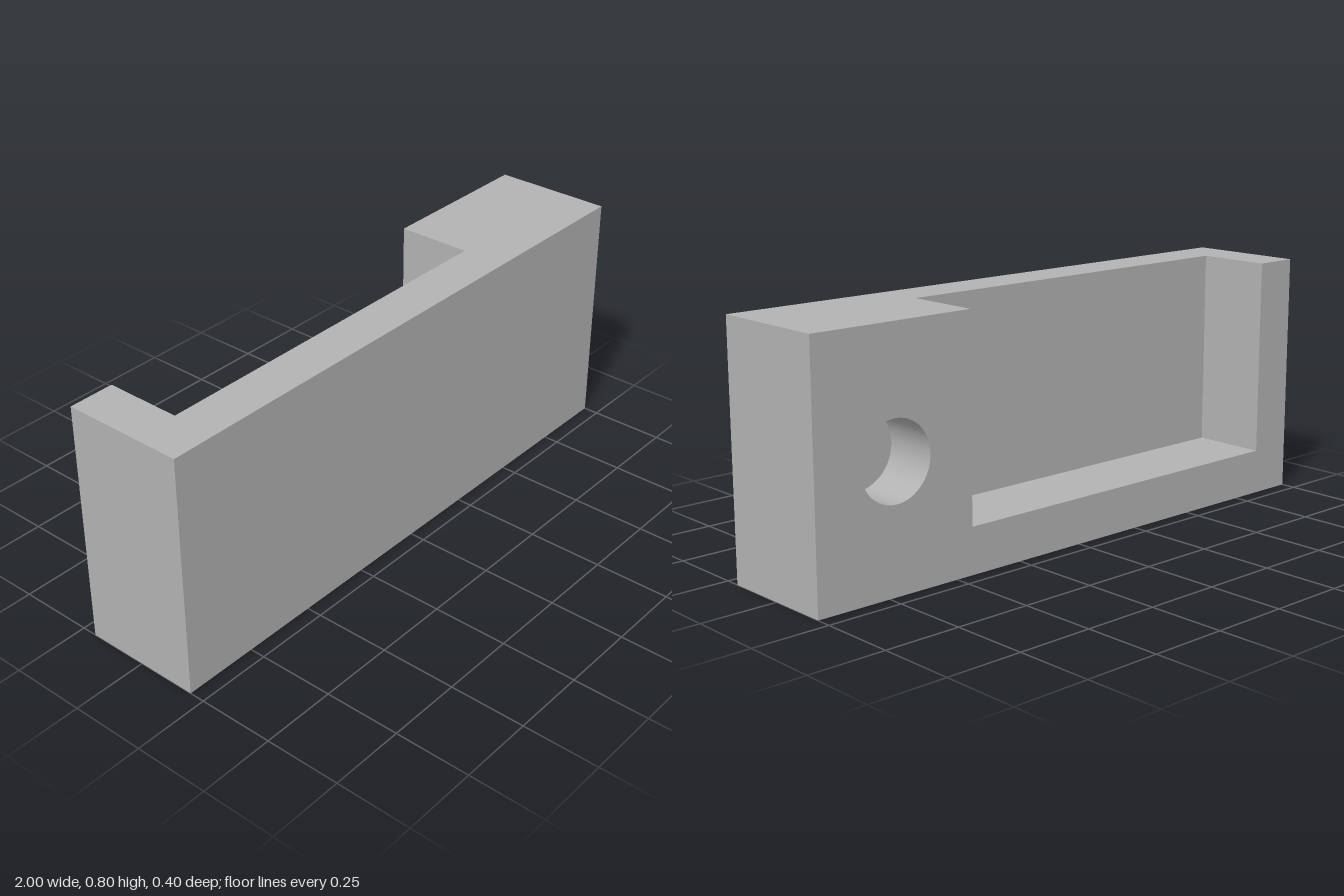
import * as THREE from 'three';

export function createModel() {
  const model = new THREE.Group();
  model.name = 'pocketedBlock';
  const grey = new THREE.MeshStandardMaterial({ color: 0xb2b2b2 });
  grey.name = 'plain grey';

  const front = 0.2, back = -0.2;
  const pocketFloor = -0.05 + 0.1;  // z of the recessed wall
  const holeFloor = back + 0.18;    // z where the blind hole ends
  const height = 0.8, ledge = 0.15, wall = -0.85, block = 0.44;
  const hole = { x: 0.72, y: 0.4, r: 0.125 };

  const outline = (points) => new THREE.Shape(points.map(([x, y]) => new THREE.Vector2(x, y)));

  function addSlab(name, shape, z0, z1) {
    const geometry = new THREE.ExtrudeGeometry(shape, { depth: z1 - z0, bevelEnabled: false, curveSegments: 48 });
    geometry.translate(0, 0, z0);
    const mesh = new THREE.Mesh(geometry, grey);
    mesh.name = name;
    model.add(mesh);
  }

  // Solid front plate
  addSlab('frontPlate', outline([[-1, 0], [1, 0], [1, height], [-1, height]]), pocketFloor, front);

  // Frame around the open-topped pocket: thin end wall, ledge and thick block
  const frame = outline([
    [-1, 0], [1, 0], [1, height], [block, height],
    [block, ledge], [wall, ledge], [wall, height], [-1, height],
  ]);
  frame.holes.push(new THREE.Path().absarc(hole.x, hole.y, hole.r, 0, Math.PI * 2, true));
  addSlab('pocketFrame', frame, back, pocketFloor);

  // Plug that closes the blind hole at its depth
  const plug = new THREE.Mesh(new THREE.CircleGeometry(hole.r, 48), grey);
  plug.name = 'holeFloor';
  plug.rotation.y = Math.PI;
  plug.position.set(hole.x, hole.y, holeFloor);
  model.add(plug);

  return model;
}
